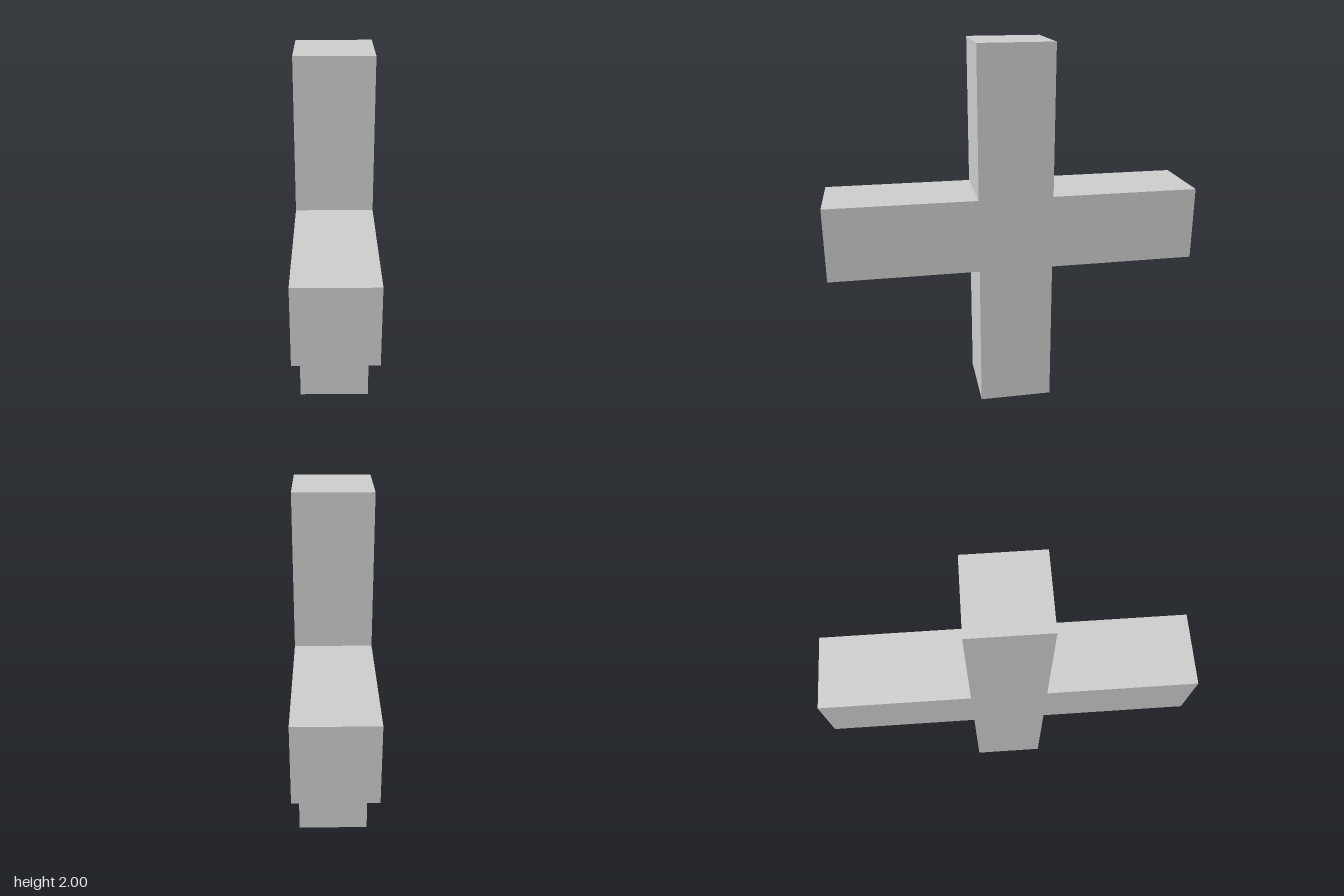
import * as THREE from 'three';

const REACH = 1;   // centre to the end of each arm
const HALF = 0.2;  // half the arm width and thickness

export function createModel() {
  const group = new THREE.Group();
  group.name = 'plusCross';

  // Plus outline: the three corners of one arm, repeated every quarter turn
  const points = [];
  for (let i = 0; i < 4; i++) {
    const arm = [[HALF, -HALF], [REACH, -HALF], [REACH, HALF]];
    for (const [x, y] of arm) {
      points.push(new THREE.Vector2(x, y).rotateAround(new THREE.Vector2(), i * Math.PI / 2));
    }
  }

  // One solid body, with the horizontal arms turned to run front to back
  const geometry = new THREE.ExtrudeGeometry(new THREE.Shape(points), {
    depth: 2 * HALF,
    bevelEnabled: false,
  });
  geometry.translate(0, 0, -HALF).rotateY(Math.PI / 2).translate(0, REACH, 0);

  const body = new THREE.Mesh(
    geometry,
    new THREE.MeshStandardMaterial({ color: 0xcccccc, flatShading: true }),
  );
  body.name = 'crossBody';
  group.add(body);
  return group;
}
